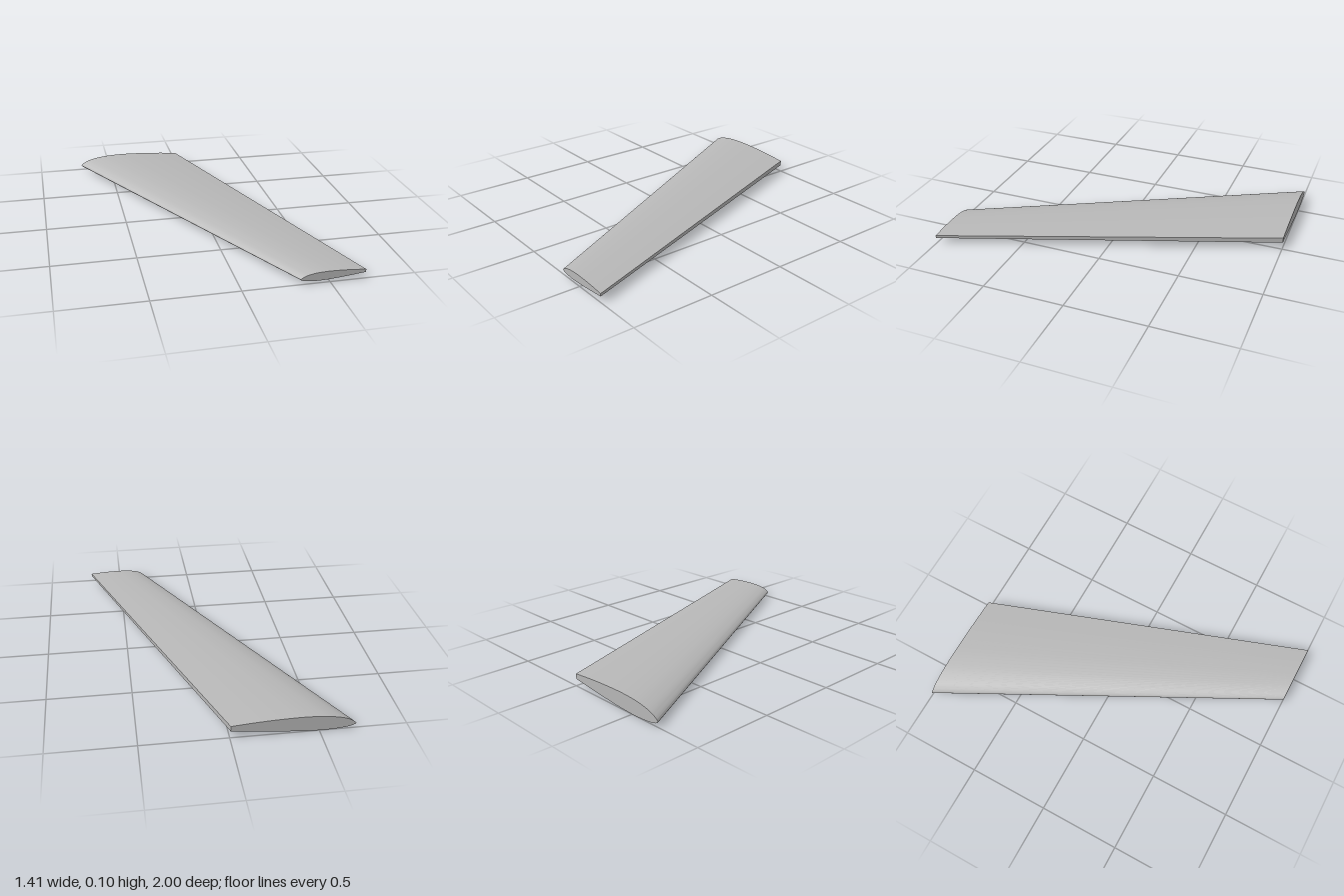
import * as THREE from 'three';
import { toCreasedNormals } from 'three/addons/utils/BufferGeometryUtils.js';

export function createModel() {
  const model = new THREE.Group();
  const wingGrey = new THREE.MeshStandardMaterial({ color: 0xb8b8b8 });
  wingGrey.name = 'wing grey';

  // Airfoil: chord fraction and height, upper trailing edge round the nose to the lower one
  const profile = [
    [1, 0.076], [0.85, 0.085], [0.7, 0.092], [0.55, 0.096], [0.4, 0.097],
    [0.25, 0.091], [0.15, 0.08], [0.08, 0.067], [0.03, 0.05], [0.005, 0.036],
    [0, 0.029], [0.01, 0.022], [0.05, 0.012], [0.13, 0.004], [0.25, 0],
    [0.4, 0.003], [0.55, 0.011], [0.75, 0.025], [1, 0.044],
  ].map(([x, y]) => new THREE.Vector2(x, y));
  const outline = new THREE.SplineCurve(profile).getPoints(72);

  // Extrude from root to tip, then taper and sweep
  const geometry = new THREE.ExtrudeGeometry(new THREE.Shape(outline), {
    depth: 2, steps: 1, bevelEnabled: false,
  });
  geometry.translate(0, 0, -1);
  const position = geometry.attributes.position;
  const noseHeight = 0.03;
  for (let i = 0; i < position.count; i++) {
    const z = position.getZ(i);
    const t = (z + 1) / 2;
    const leading = THREE.MathUtils.lerp(-0.707, 0.332, t);
    const trailing = THREE.MathUtils.lerp(-0.005, 0.707, t);
    const scale = (trailing - leading) / 0.702;
    position.setX(i, leading + position.getX(i) * (trailing - leading));
    position.setY(i, noseHeight + (position.getY(i) - noseHeight) * scale);
  }

  // Smooth skin with sharp end caps and trailing edge
  const wing = new THREE.Mesh(toCreasedNormals(geometry, 0.7), wingGrey);
  wing.name = 'sweptWing';
  model.add(wing);
  return model;
}
